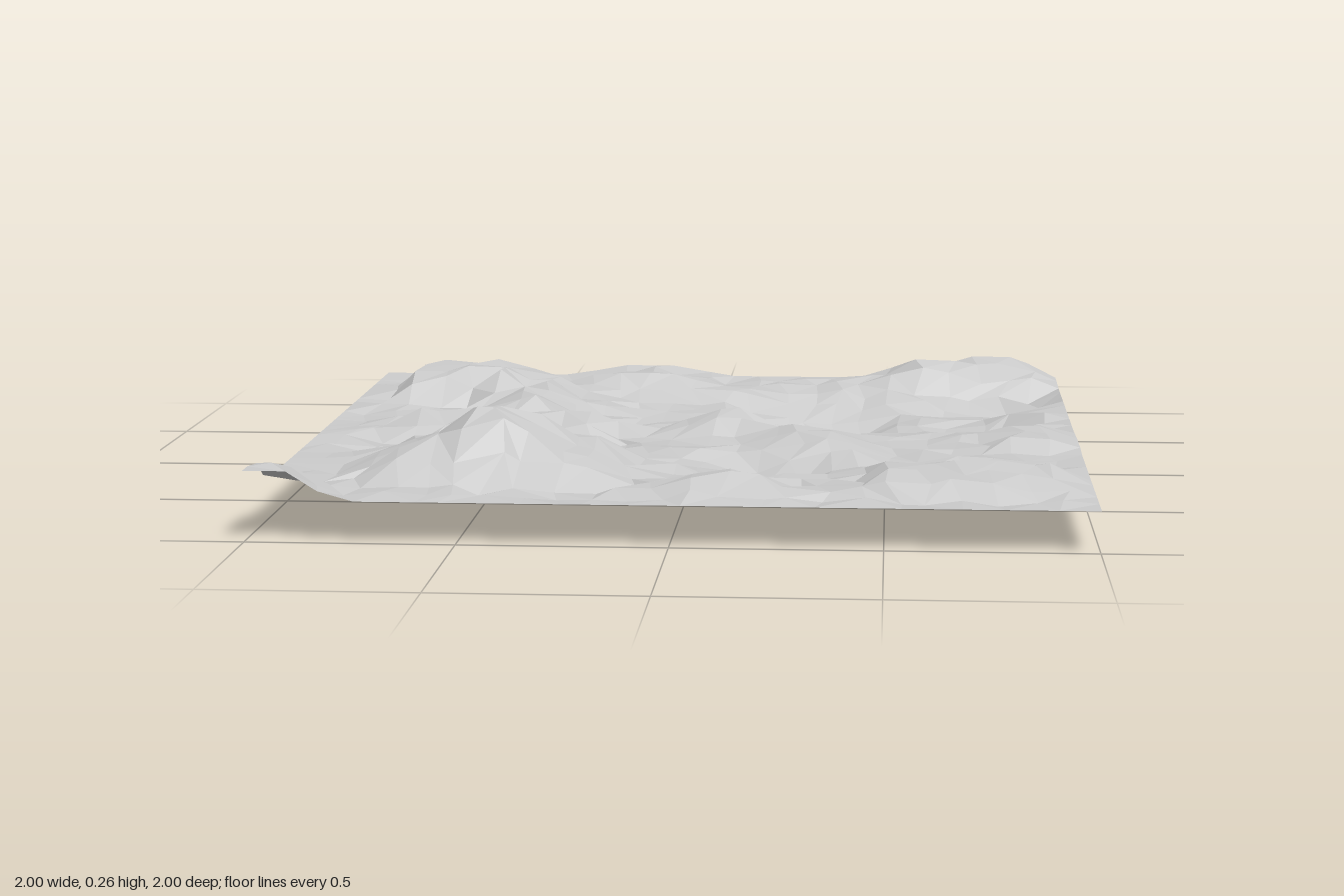
import * as THREE from 'three';

const BASE = 0.1;   // level of the flat ground
const CELLS = 25;   // facets along each side

// Each landform: centre x, centre z, half width, half depth of the flat part, slope run, height
const mounds = [
  [-0.46, 0.6, 0.08, 0.06, 0.14, 0.16],     // main hill
  [-0.45, 0.56, 0.23, 0.18, 0.12, 0.065],   // shelf around the hill
  [-0.97, 0.95, 0.08, 0.1, 0.1, 0.07],      // front corner bump
  [0.8, -0.97, 0.08, 0.08, 0.13, 0.066],    // back corner bump
  [0.59, -0.92, 0.02, 0.04, 0.12, 0.07],
  [-0.68, -0.58, 0.14, 0.12, 0.1, 0.085],   // back plateau
  [-0.5, -0.4, 0.06, 0.2, 0.09, 0.055],
  [-0.52, -0.02, 0.24, 0.03, 0.1, 0.05],    // long ridge
  [-0.2, -0.77, 0.14, 0.03, 0.1, 0.04],
  [-0.2, -0.97, 0.12, 0.03, 0.09, 0.03],
  [0.08, -0.02, 0.03, 0.04, 0.12, 0.055],
  [0.32, 0.22, 0.06, 0.1, 0.1, 0.045],
  [0.87, 0.1, 0.04, 0.1, 0.11, 0.03],
  [0.7, 0.72, 0.18, 0.09, 0.1, 0.05],
  [0.1, 0.82, 0.1, 0.04, 0.1, 0.04],
];
const hollows = [
  [0.34, -0.43, 0.06, 0.06, 0.3, -0.108],   // deepest basin
  [0.5, -0.43, 0.27, 0.2, 0.15, -0.05],     // wide basin
  [0.8, -0.66, 0.08, 0.08, 0.12, -0.055],
  [0.22, 0.42, 0.07, 0.05, 0.14, -0.045],
  [-0.1, -0.38, 0.08, 0.18, 0.15, -0.03],
  [-0.5, 0.2, 0.3, 0.04, 0.12, -0.022],
];

// Seeded random numbers from -1 to 1
function makeRandom(seed) {
  return () => {
    seed = (seed * 16807) % 2147483647;
    return (seed / 2147483647) * 2 - 1;
  };
}

// Height of one flat-topped landform at a point
function landform([cx, cz, w, d, slope, height], x, z) {
  const dx = Math.max(Math.abs(x - cx) - w, 0);
  const dz = Math.max(Math.abs(z - cz) - d, 0);
  return height * Math.max(0, 1 - Math.hypot(dx, dz) / slope);
}

function groundHeight(x, z) {
  const up = Math.max(...mounds.map((m) => landform(m, x, z)));
  const down = Math.min(...hollows.map((h) => landform(h, x, z)));
  return BASE + up + down;
}

export function createModel() {
  const group = new THREE.Group();
  group.name = 'terrain';

  // Jittered grid, with straight outer edges
  const geometry = new THREE.PlaneGeometry(2, 2, CELLS, CELLS).rotateX(-Math.PI / 2);
  const position = geometry.attributes.position;
  const random = makeRandom(4217);
  const jitter = 0.3 * (2 / CELLS);
  for (let i = 0; i < position.count; i++) {
    let x = position.getX(i);
    let z = position.getZ(i);
    const jx = random() * jitter, jz = random() * jitter, rough = random() * 0.011;
    const edgeX = Math.abs(x) > 0.999, edgeZ = Math.abs(z) > 0.999;
    if (!edgeX) x += jx;
    if (!edgeZ) z += jz;
    const y = groundHeight(x, z) + (edgeX || edgeZ ? 0 : rough);
    position.setXYZ(i, x, Math.max(0, y), z);
  }

  // Alternate the diagonals for irregular facets
  const index = [];
  const row = CELLS + 1;
  for (let r = 0; r < CELLS; r++) {
    for (let c = 0; c < CELLS; c++) {
      const a = r * row + c, b = a + 1, d = a + row, e = d + 1;
      if (random() > 0) index.push(a, d, b, d, e, b);
      else index.push(a, d, e, a, e, b);
    }
  }
  geometry.setIndex(index);
  geometry.computeVertexNormals();

  const ground = new THREE.Mesh(geometry, new THREE.MeshStandardMaterial({
    color: 0xcccccc, flatShading: true, side: THREE.DoubleSide,
  }));
  ground.name = 'ground';
  group.add(ground);
  return group;
}
